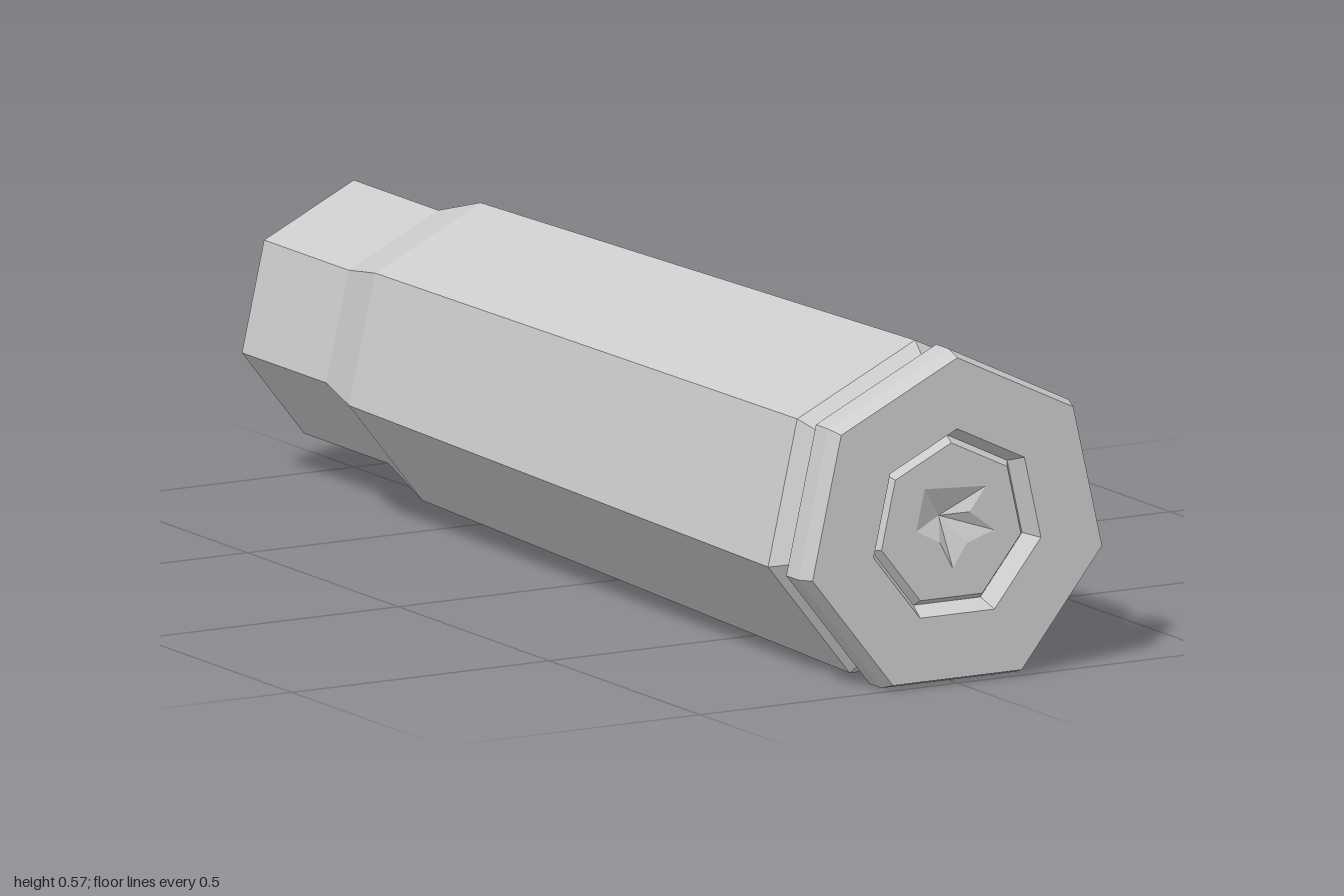
import * as THREE from 'three';

const SIDES = 7;
const AXIS_Y = 0.269;

// Seven-sided flat-faced solid around the z axis; profile points are [radius, z]
function facetedLathe(profile) {
  const points = profile.map(([r, z]) => new THREE.Vector2(r, z));
  const geometry = new THREE.LatheGeometry(points, SIDES, Math.PI)
    .rotateX(Math.PI / 2)
    .toNonIndexed();
  geometry.computeVertexNormals();
  return geometry;
}

export function createModel() {
  const group = new THREE.Group();
  group.name = 'cartridgeCase';
  const metal = new THREE.MeshStandardMaterial({ color: 0xcccccc });
  metal.name = 'grey metal';

  function add(name, geometry) {
    const mesh = new THREE.Mesh(geometry, metal);
    mesh.name = name;
    mesh.position.y = AXIS_Y;
    group.add(mesh);
  }

  // Hollow body: inner floor, bore, mouth lip, then the outside up to the rim
  add('caseBody', facetedLathe([
    [0, 0.8], [0.265, 0.8], [0.245, -0.57], [0.207, -0.71], [0.207, -1],
    [0.223, -1], [0.223, -0.72], [0.262, -0.58], [0.293, 0.86],
    [0.258, 0.895], [0.258, 0.93],
    [0.2988, 0.93], [0.2988, 0.97], [0.2885, 1],
    [0.1667, 1], [0.15, 0.965],
  ]));

  // Bevelled edge of the primer
  const primerZ = 0.98;
  const primerR = 0.139;
  add('primerEdge', facetedLathe([[0.15, 0.965], [primerR, primerZ]]));

  // Primer face with a star-shaped opening for the dent
  const dent = [
    [-0.052, 0.065], [0.067, 0.058], [0.036, 0.017], [0.083, -0.019],
    [0.03, -0.036], [0.003, -0.077], [-0.022, -0.03], [-0.068, -0.006],
  ].map(([x, y]) => new THREE.Vector2(x, y));
  const rim = Array.from({ length: SIDES }, (_, i) => {
    const a = Math.PI / 2 + (i * 2 * Math.PI) / SIDES;
    return new THREE.Vector2(primerR * Math.cos(a), primerR * Math.sin(a));
  });
  const face = new THREE.Shape(rim);
  face.holes.push(new THREE.Path(dent));
  add('primerFace', new THREE.ShapeGeometry(face).translate(0, 0, primerZ));

  // Dent: facets running from the star outline to a sunken centre
  const corners = [];
  dent.forEach((p, i) => {
    const next = dent[(i + 1) % dent.length];
    corners.push(-0.012, 0.012, primerZ - 0.022, next.x, next.y, primerZ, p.x, p.y, primerZ);
  });
  const dentGeometry = new THREE.BufferGeometry();
  dentGeometry.setAttribute('position', new THREE.Float32BufferAttribute(corners, 3));
  dentGeometry.computeVertexNormals();
  add('primerDent', dentGeometry);

  return group;
}
